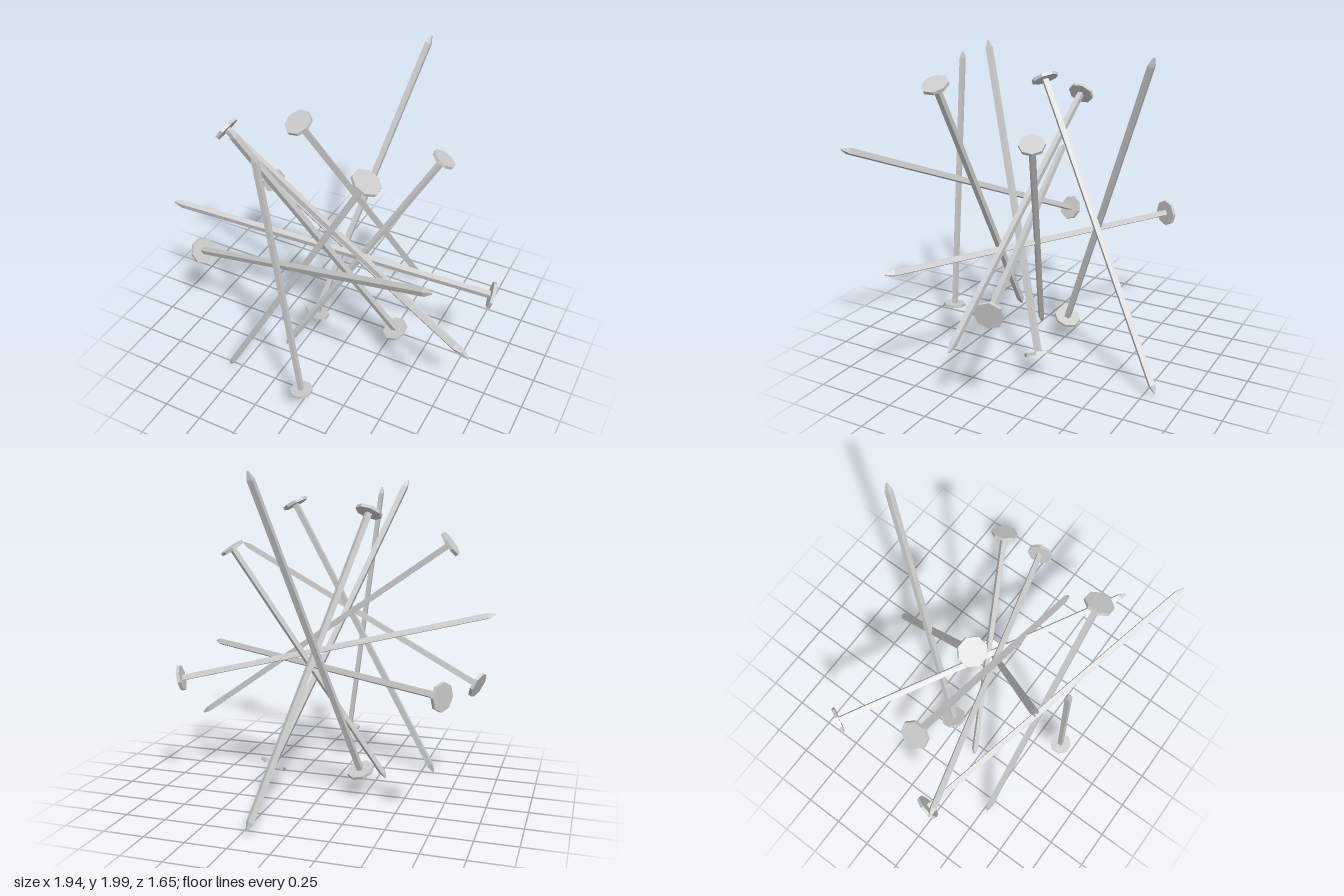
import * as THREE from 'three';

const UP = new THREE.Vector3(0, 1, 0);
const LENGTH = 2, TIP = 0.05, HEAD = 0.02, SIDE = 0.034;

// centre of the head, then the point, for every nail
const NAILS = [
  [[0.05, 0.225, 0.675], [-0.16, 1.88, 0.69]],
  [[0.39, 1.775, 0.52], [-0.58, 0.01, 0.52]],
  [[0.32, 0.18, -0.11], [-0.35, 1.93, 0.62]],
  [[-0.225, 0.17, -0.03], [0.2, 2.0, -0.74]],
  [[-0.22, 1.75, 0.135], [0.205, 0.04, -0.825]],
  [[0.535, 1.54, -0.195], [-0.325, 0.045, 0.22]],
  [[-0.72, 1.57, 0.13], [0.91, 0.4, 0.13]],
  [[-0.885, 0.69, 0.285], [0.89, 1.475, 0.815]],
  [[0.925, 0.7, -0.15], [-0.97, 1.12, 0.39]],
  [[-0.8, 0.8, -0.475], [0.97, 0.815, 0.495]],
];

export function createModel() {
  const material = new THREE.MeshStandardMaterial({ color: 0xcccccc, flatShading: true });

  // nail along +y, centre of the head at the origin
  const shaftLength = LENGTH - TIP;
  const shaftGeo = new THREE.BoxGeometry(SIDE, shaftLength, SIDE);
  shaftGeo.translate(0, shaftLength / 2, 0);

  const corner = SIDE * Math.SQRT1_2;
  const pointGeo = new THREE.CylinderGeometry(corner * 0.25, corner, TIP, 4);
  pointGeo.rotateY(Math.PI / 4);
  pointGeo.translate(0, LENGTH - TIP / 2, 0);

  const headGeo = new THREE.CylinderGeometry(0.084, 0.084, HEAD, 8);
  headGeo.rotateY(Math.PI / 8);

  const parts = { shaft: shaftGeo, point: pointGeo, head: headGeo };

  const model = new THREE.Group();
  model.name = 'nails';
  NAILS.forEach(([head, tip], i) => {
    const nail = new THREE.Group();
    nail.name = `nail${i + 1}`;
    for (const [name, geometry] of Object.entries(parts)) {
      const mesh = new THREE.Mesh(geometry, material);
      mesh.name = name;
      nail.add(mesh);
    }
    const start = new THREE.Vector3(...head);
    const along = new THREE.Vector3(...tip).sub(start);
    nail.scale.setScalar(along.length() / LENGTH);
    nail.quaternion.setFromUnitVectors(UP, along.normalize());
    nail.position.copy(start);
    model.add(nail);
  });
  return model;
}
